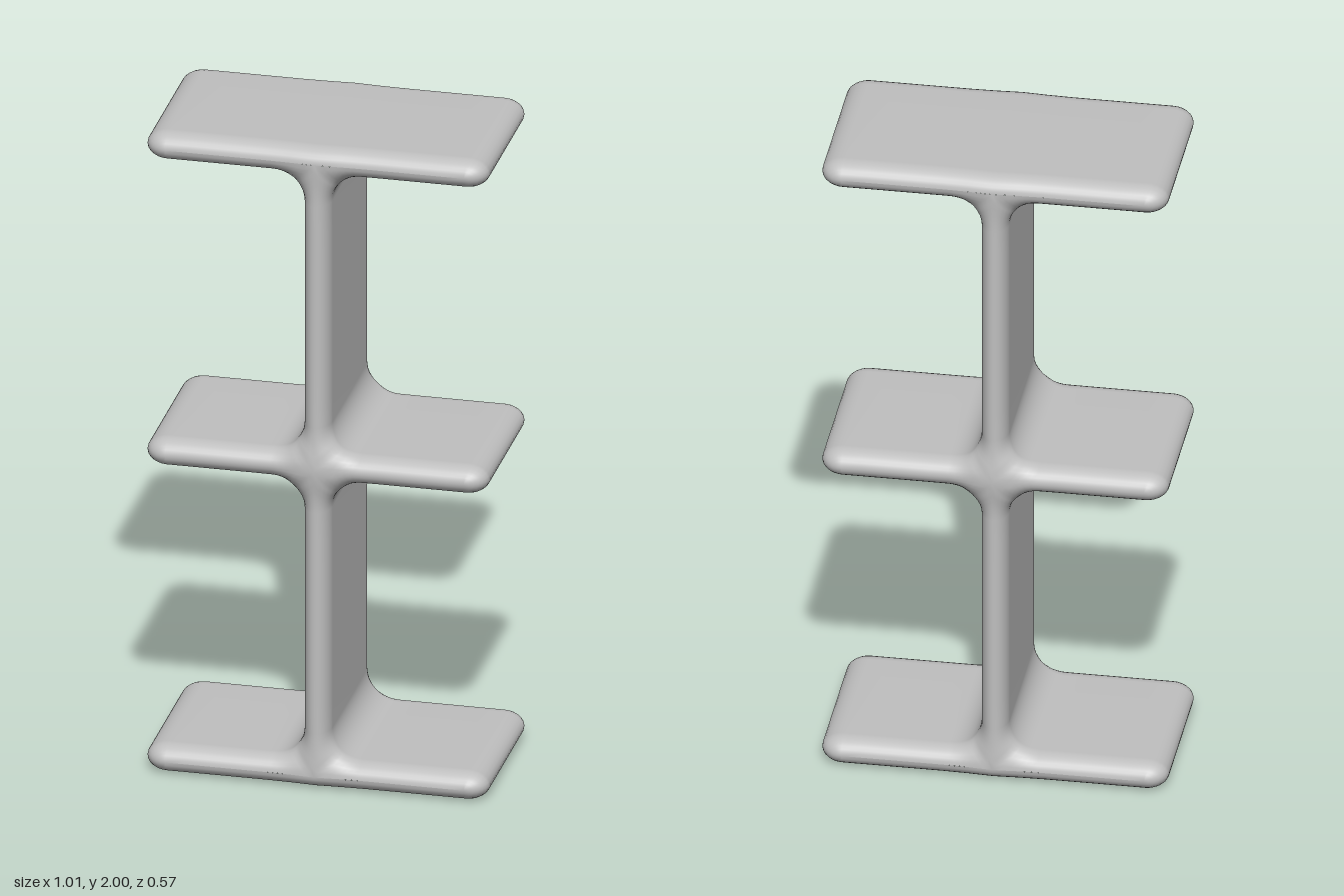
import * as THREE from 'three';
import { mergeVertices } from 'three/addons/utils/BufferGeometryUtils.js';

const SHELVES = [0.043, 1.0, 1.957]; // centre heights
const HALF_THICK = 0.043;            // shelf half thickness
const HALF_WALL = 0.04;              // upright half thickness
const FILLET = 0.09;                 // blend radius where shelf meets upright
const TIP_X = 0.44, TIP_R = 0.064;   // rounded shelf ends
const HALF_DEPTH = 0.27, EDGE = 0.06; // depth and edge rounding

// Right half of the outline, bottom to top. Each entry pairs an outline point
// with the point of the centreline that its rounded edge closes onto.
function rightHalf() {
  const pairs = [];
  const add = (px, py, sx, sy) => pairs.push({ px, py, sx, sy });
  const inner = HALF_WALL + FILLET;

  const flat = (y, side, from, to) => {
    for (let i = 0; i <= 6; i++) {
      const x = from + (to - from) * i / 6;
      add(x, y + side * HALF_THICK, x, y);
    }
  };
  const tip = (y) => {
    for (let i = 1; i < 12; i++) {
      const a = -Math.PI / 2 + Math.PI * i / 12;
      add(TIP_X + TIP_R * Math.cos(a), y + HALF_THICK * Math.sin(a), TIP_X, y);
    }
  };
  // u = 0 on the shelf, u = 1 on the upright
  const fillet = (y, side, outward) => {
    for (let i = 1; i <= 12; i++) {
      const u = outward ? 1 - i / 12 : i / 12, a = u * Math.PI / 2;
      const reach = HALF_THICK + FILLET;
      add(inner - FILLET * Math.sin(a), y + side * (reach - FILLET * Math.cos(a)),
        u < 0.5 ? (1 - 2 * u) * inner : 0,
        u < 0.5 ? y : y + side * (2 * u - 1) * reach);
    }
  };

  SHELVES.forEach((y, n) => {
    const first = n === 0, last = n === SHELVES.length - 1;
    if (!first) fillet(y, -1, true);
    flat(y, -1, first ? 0 : inner, TIP_X);
    tip(y);
    flat(y, 1, TIP_X, last ? 0 : inner);
    if (last) return;
    fillet(y, 1, false);
    // upright between this shelf and the next
    const y0 = y + HALF_THICK + FILLET, y1 = SHELVES[n + 1] - HALF_THICK - FILLET;
    for (let i = 1; i <= 8; i++) {
      const h = y0 + (y1 - y0) * i / 8;
      add(HALF_WALL, h, 0, h);
    }
  });
  return pairs;
}

// Front and back faces swell slightly where the panels cross
function halfDepthAt(x, y) {
  let d = HALF_DEPTH;
  SHELVES.forEach((sy, n) => {
    const r2 = x * x + (y - sy) ** 2;
    d += (n === 1 ? 0.015 : 0.006) * Math.exp(-r2 / 0.005);
  });
  return d;
}

function bodyGeometry() {
  const right = rightHalf();
  const left = right.map((p) => ({ ...p, px: -p.px, sx: -p.sx })).reverse();
  const outline = [...right, ...left];

  // Rows run from the back centreline, around the sides, to the front one
  const rows = [], steps = 7;
  for (let i = 0; i <= steps; i++) rows.push([-1, -Math.PI / 2 * (1 - i / steps)]);
  for (let i = 0; i <= steps; i++) rows.push([1, Math.PI / 2 * i / steps]);

  const positions = [], index = [];
  for (const [side, a] of rows) {
    const c = Math.abs(a) > 1.57 ? 0 : Math.cos(a);
    for (const { px, py, sx, sy } of outline) {
      const z = side * (halfDepthAt(sx, sy) - EDGE) + EDGE * Math.sin(a);
      positions.push(sx + (px - sx) * c, sy + (py - sy) * c, z);
    }
  }
  const n = outline.length;
  for (let k = 0; k < rows.length - 1; k++) {
    for (let i = 0; i < n; i++) {
      const j = (i + 1) % n;
      const a = k * n + i, b = k * n + j, c = b + n, d = a + n;
      index.push(a, b, c, a, c, d);
    }
  }
  let geometry = new THREE.BufferGeometry();
  geometry.setAttribute('position', new THREE.Float32BufferAttribute(positions, 3));
  geometry.setIndex(index);
  geometry = mergeVertices(geometry, 1e-5);
  geometry.computeVertexNormals();
  return geometry;
}

export function createModel() {
  const group = new THREE.Group();
  group.name = 'shelfUnit';
  const grey = new THREE.MeshStandardMaterial({ color: 0xbfbfbf });
  grey.name = 'light grey';
  // Three shelves and the upright are one smoothly blended body
  const body = new THREE.Mesh(bodyGeometry(), grey);
  body.name = 'shelvesAndUpright';
  group.add(body);
  return group;
}
